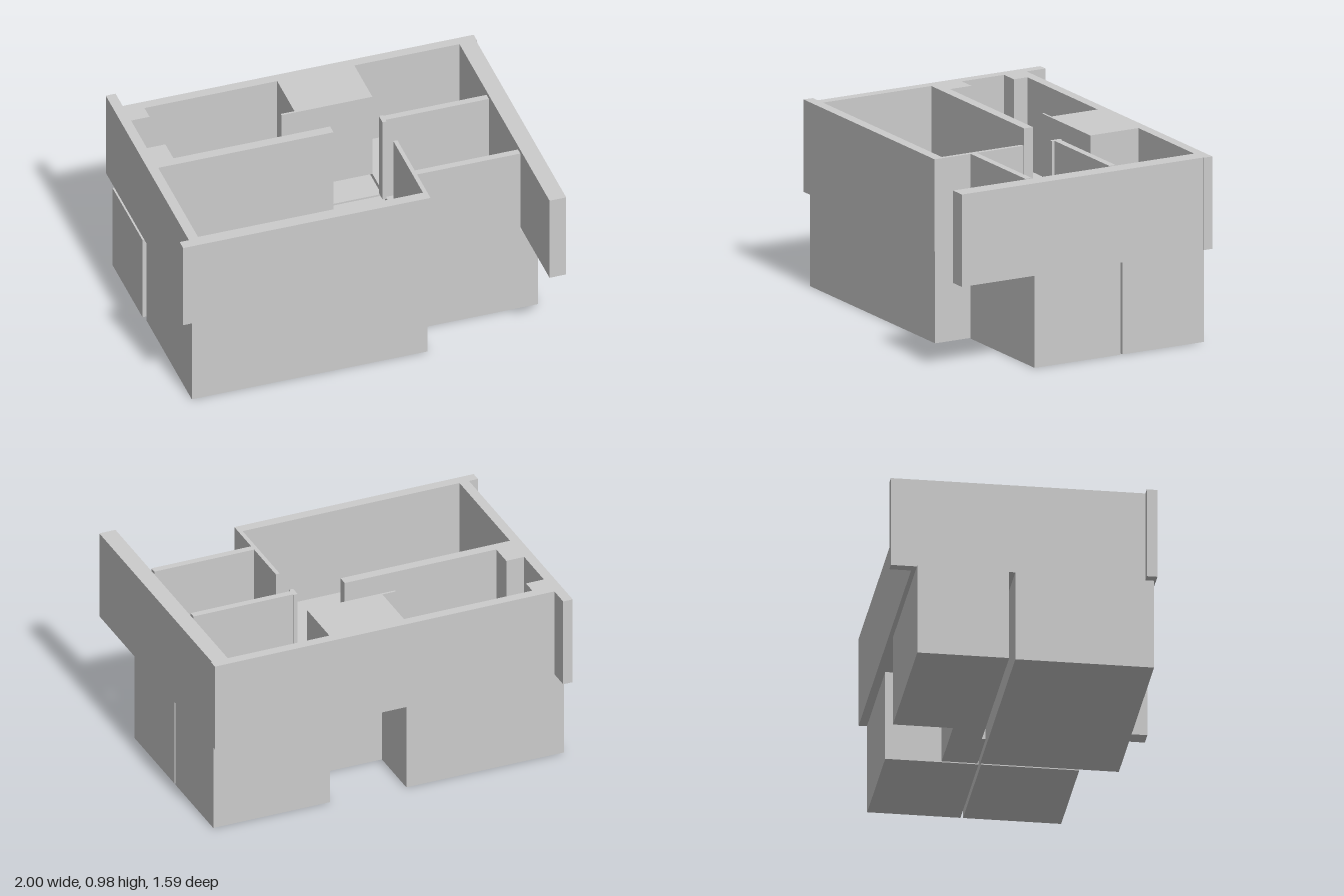
import * as THREE from 'three';

const FLOOR = 0.49, TOP = 0.98;

// Vertical prism from a plan outline given as [x, z] corners.
function prism(name, plan, y0, y1) {
  const shape = new THREE.Shape(plan.map(([x, z]) => new THREE.Vector2(x, -z)));
  const geometry = new THREE.ExtrudeGeometry(shape, { depth: y1 - y0, bevelEnabled: false });
  geometry.rotateX(-Math.PI / 2).translate(0, y0, 0);
  const mesh = new THREE.Mesh(geometry, new THREE.MeshStandardMaterial({ color: 0xcccccc, flatShading: true }));
  mesh.name = name;
  return mesh;
}

const rect = (x0, x1, z0, z1) => [[x0, z0], [x0, z1], [x1, z1], [x1, z0]];

export function createModel() {
  const model = new THREE.Group();
  model.name = 'apartment';

  // Lower room blocks, separated by narrow gaps
  model.add(
    prism('livingRoomBlock', rect(-0.95, 0.325, -0.152, 0.565), 0, FLOOR),
    prism('frontBedroomBlock', rect(0.337, 0.99, -0.145, 0.362), 0, FLOOR),
    prism('backBedroomBlock', rect(0.337, 0.99, -0.64, -0.158), 0, FLOOR),
    prism('kitchenAndHallBlock', [
      [-0.96, -0.66], [-0.08, -0.66], [-0.08, -0.35], [0.325, -0.35],
      [0.325, -0.165], [0.03, -0.165], [0.03, -0.185], [-0.96, -0.185],
    ], 0, FLOOR),
  );

  // Continuous upper walls with piers, the solid core and the projecting wall ends
  model.add(prism('outerWalls', [
    [-1, 0.575], [0.337, 0.575], [0.337, 0.362], [0.895, 0.362], [0.895, 0.325],
    [0.337, 0.325], [0.337, 0.05], [0.315, 0.05], [0.315, 0.52], [-0.897, 0.52],
    [-0.897, -0.12], [0.05, -0.12], [0.05, -0.173], [-0.797, -0.173], [-0.797, -0.3],
    [-0.897, -0.3], [-0.897, -0.55], [-0.797, -0.55], [-0.797, -0.63], [-0.08, -0.63],
    [-0.08, -0.357], [-0.155, -0.357], [-0.155, -0.345], [0.337, -0.345], [0.337, -0.63],
    [0.905, -0.63], [0.905, 0.795], [0.995, 0.795], [0.995, -0.63], [1, -0.63],
    [1, -0.683], [-0.897, -0.683], [-0.897, -0.795], [-0.95, -0.795], [-0.95, 0.52], [-1, 0.52],
  ], FLOOR, TOP));

  // Partition between the two bedrooms with its wider end post
  model.add(prism('bedroomPartition', [
    [0.315, -0.178], [0.337, -0.178], [0.337, -0.172], [0.895, -0.172],
    [0.895, -0.135], [0.337, -0.135], [0.337, -0.12], [0.315, -0.12],
  ], FLOOR, TOP));

  return model;
}
